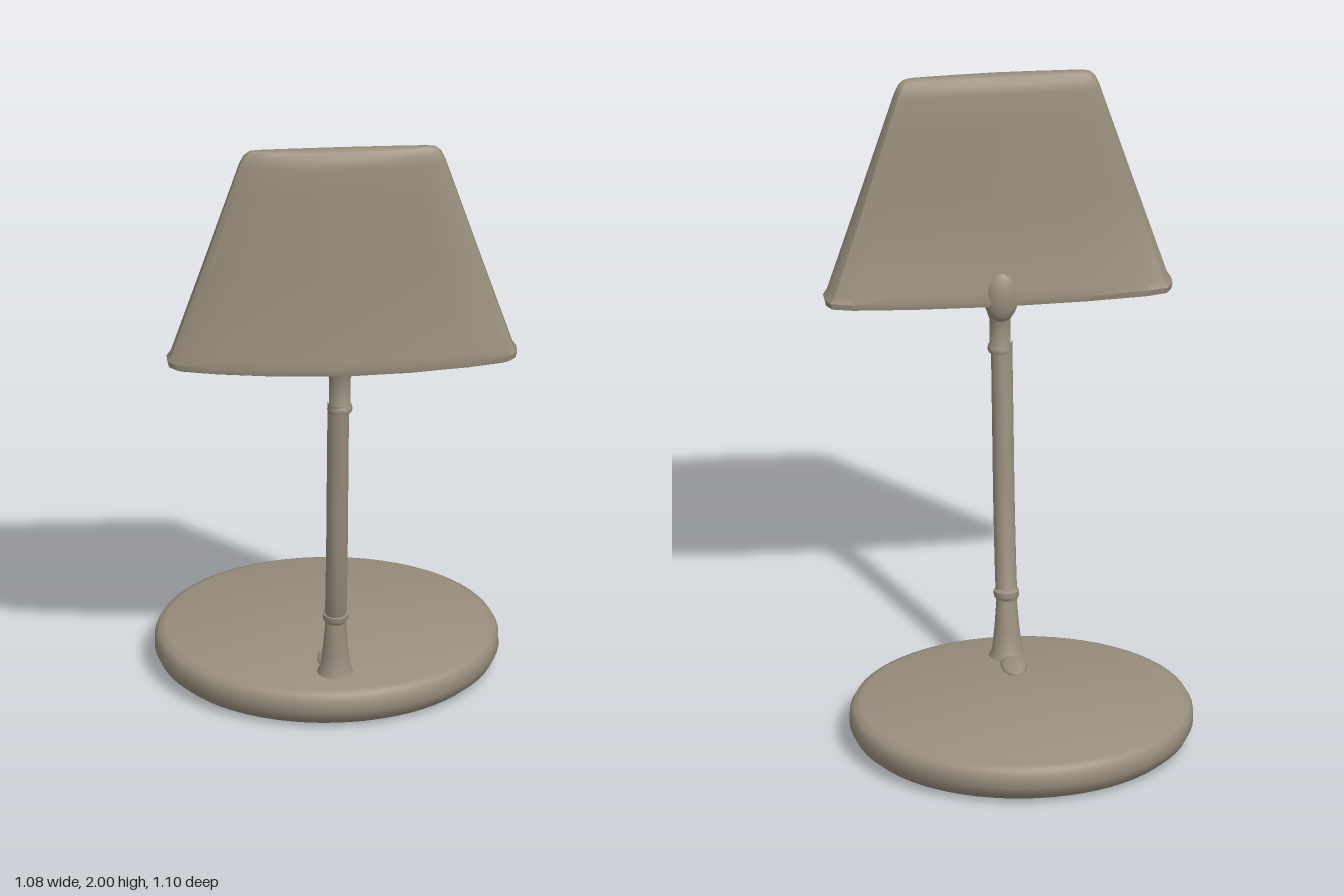
import * as THREE from 'three';
import { toCreasedNormals } from 'three/addons/utils/BufferGeometryUtils.js';

const taupe = new THREE.MeshStandardMaterial({ color: 0x9a8f7e });
taupe.name = 'taupe';

function add(group, name, geometry) {
  const mesh = new THREE.Mesh(geometry, taupe);
  mesh.name = name;
  group.add(mesh);
  return mesh;
}

const lathe = (points, sides) =>
  toCreasedNormals(new THREE.LatheGeometry(points.map(p => new THREE.Vector2(...p)), sides), 0.7);

// Joins closed rings of points, listed bottom to top, and closes both ends with fans.
function loft(rings) {
  const n = rings[0].length, positions = [], index = [];
  for (const ring of rings) for (const p of ring) positions.push(...p);
  for (let r = 0; r < rings.length - 1; r++) {
    for (let i = 0; i < n; i++) {
      const a = r * n + i, b = r * n + (i + 1) % n;
      index.push(a, a + n, b, b, a + n, b + n);
    }
  }
  for (const [r, top] of [[0, false], [rings.length - 1, true]]) {
    const c = positions.length / 3;
    const mean = k => rings[r].reduce((s, p) => s + p[k], 0) / n;
    positions.push(mean(0), mean(1), mean(2));
    for (let i = 0; i < n; i++) {
      const a = r * n + i, b = r * n + (i + 1) % n;
      if (top) index.push(a, c, b); else index.push(a, b, c);
    }
  }
  const geometry = new THREE.BufferGeometry();
  geometry.setAttribute('position', new THREE.Float32BufferAttribute(positions, 3));
  geometry.setIndex(index);
  geometry.computeVertexNormals();
  return toCreasedNormals(geometry, 0.6);
}

// Slim shade: nearly flat back, bowed front, tapering towards the top.
function shadeGeometry() {
  const half = [[0, -1], [0.5, -0.95], [0.85, -0.86], [0.97, -0.72], [1, -0.4], [1, 0.05],
    [0.96, 0.3], [0.75, 0.6], [0.4, 0.87], [0, 1]];
  const outline = [...half, ...half.slice(1, -1).reverse().map(([u, v]) => [-u, v])];
  // height, half width, back z, front z
  const levels = [
    [1.262, 0.51, 0.38, 0.52], [1.27, 0.53, 0.36, 0.54], [1.29, 0.535, 0.355, 0.546],
    [1.31, 0.522, 0.364, 0.54], [1.6, 0.428, 0.388, 0.527], [1.85, 0.348, 0.412, 0.512],
    [1.95, 0.316, 0.42, 0.507], [1.98, 0.303, 0.428, 0.5], [1.996, 0.287, 0.442, 0.486],
    [2.0, 0.272, 0.452, 0.476]];
  return loft(levels.map(([y, w, back, front]) => outline.map(([u, v]) => [
    u * w, y - (y < 1.3 ? 0.007 * (1 - u * u) : 0),
    (back + front) / 2 + v * (front - back) / 2])));
}

export function createModel() {
  const lamp = new THREE.Group();
  lamp.name = 'deskLamp';

  // Rounded, slightly oval disc
  const base = add(lamp, 'base', lathe([[0, 0.005], [0.45, 0.005], [0.485, 0.014], [0.51, 0.035],
    [0.525, 0.065], [0.524, 0.1], [0.513, 0.12], [0.49, 0.129], [0, 0.133]], 64));
  base.scale.z = 0.49 / 0.525;
  base.position.set(-0.015, 0, -0.06);

  // Flared foot ending in a collar
  const foot = add(lamp, 'foot', lathe([[0.06, 0], [0.047, 0.025], [0.038, 0.1], [0.031, 0.19],
    [0.039, 0.2], [0.039, 0.218], [0.03, 0.225], [0, 0.225]], 20));
  foot.position.set(-0.01, 0.122, 0.272);
  foot.rotation.x = 0.09;

  // Gently bent stem
  const path = new THREE.CatmullRomCurve3([[0.31, 0.285], [0.4, 0.313], [0.6, 0.355],
    [0.8, 0.38], [1.0, 0.405], [1.12, 0.42]].map(([y, z]) => new THREE.Vector3(-0.01, y, z)));
  add(lamp, 'stem', new THREE.TubeGeometry(path, 40, 0.033, 16, false));

  // Sleeve below the shade, with a collar at its lower end
  const sleeve = add(lamp, 'sleeve', lathe([[0, 0], [0.036, 0], [0.039, 0.008], [0.036, 0.02],
    [0.033, 0.025], [0.033, 0.11], [0.045, 0.15], [0.055, 0.18], [0, 0.18]], 20));
  sleeve.position.set(-0.005, 1.088, 0.418);

  // Socket swelling on the back of the shade
  const socket = add(lamp, 'socket', new THREE.SphereGeometry(1, 20, 14));
  socket.scale.set(0.055, 0.09, 0.045);
  socket.position.set(-0.005, 1.29, 0.39);

  add(lamp, 'shade', shadeGeometry());

  // Low ridge behind the foot
  const ridge = add(lamp, 'footRidge', new THREE.SphereGeometry(1, 12, 8));
  ridge.scale.set(0.04, 0.017, 0.08);
  ridge.position.set(-0.02, 0.131, 0.19);

  return lamp;
}
